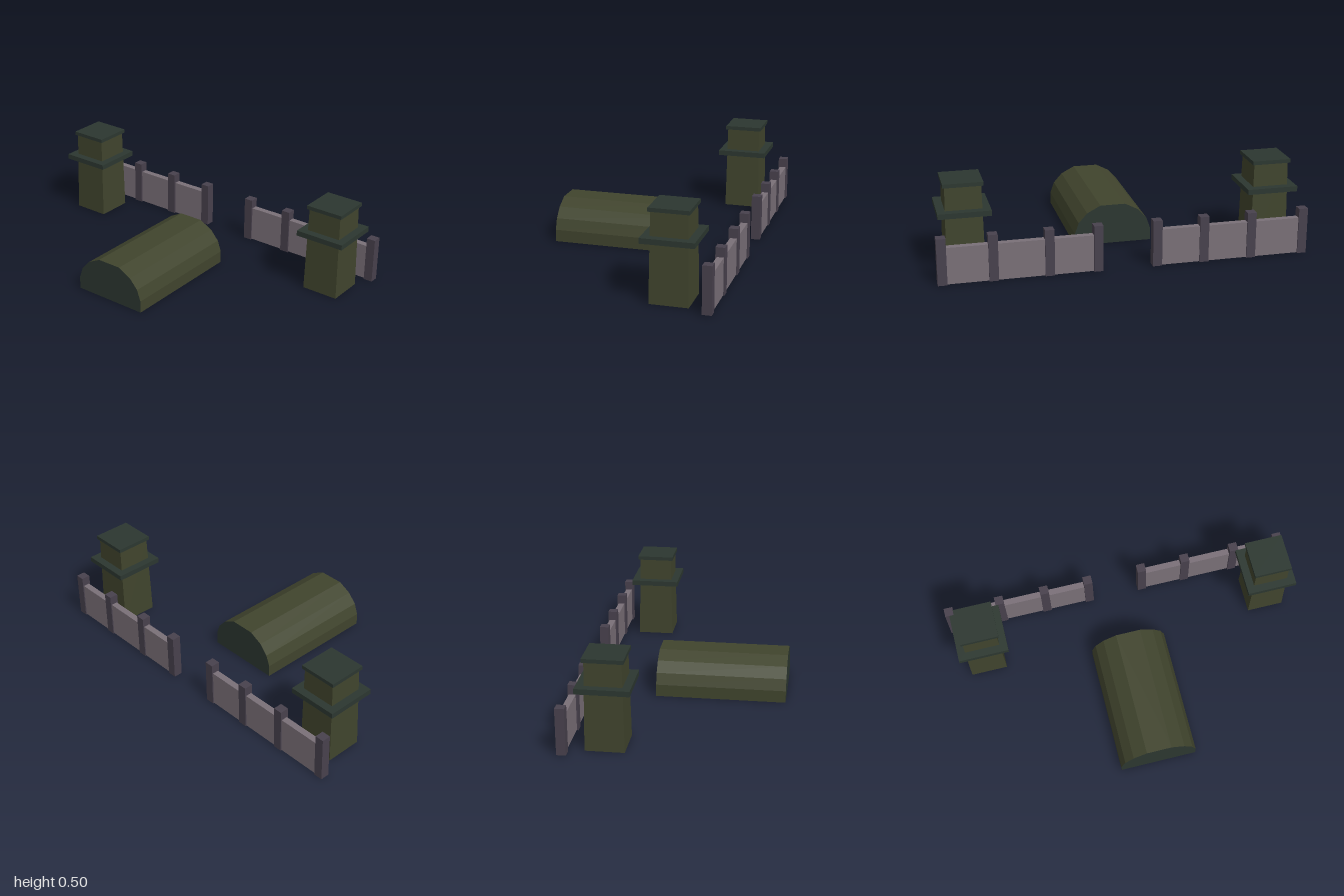
import * as THREE from 'three';

const mat = (name, color, side = THREE.FrontSide) => {
  const m = new THREE.MeshStandardMaterial({ color, side, flatShading: true });
  m.name = name;
  return m;
};

export function createModel() {
  const olive = mat('olive', 0x40442d, THREE.DoubleSide);
  const darkGreen = mat('dark green', 0x2c3730, THREE.DoubleSide);
  const panelGrey = mat('mauve grey', 0x7a7078);
  const postGrey = mat('dark mauve', 0x48414d);

  const model = new THREE.Group();
  model.name = 'outpost';

  const add = (parent, name, geometry, material, x, y, z) => {
    const mesh = new THREE.Mesh(geometry, material);
    mesh.name = name;
    mesh.position.set(x, y, z);
    parent.add(mesh);
  };
  // box standing on height y0 and ending at y1
  const box = (parent, name, material, w, d, y0, y1, x, z) =>
    add(parent, name, new THREE.BoxGeometry(w, y1 - y0, d), material, x, (y0 + y1) / 2, z);

  // Watchtowers: tapered square shaft, gallery slab and roof slab
  for (const [name, x] of [['rightTower', -0.83], ['leftTower', 0.838]]) {
    const tower = new THREE.Group();
    tower.name = name;
    const shaft = new THREE.CylinderGeometry(0.19 * Math.SQRT1_2, 0.206 * Math.SQRT1_2, 0.48, 4);
    shaft.rotateY(Math.PI / 4);
    add(tower, 'shaft', shaft, olive, x, 0.24, -0.318);
    box(tower, 'gallery', darkGreen, 0.28, 0.28, 0.324, 0.353, x, -0.318);
    box(tower, 'roof', darkGreen, 0.212, 0.212, 0.479, 0.5, x, -0.318);
    model.add(tower);
  }

  // Fences: a thin panel between four taller posts, on each side of the gate
  for (const [name, posts] of [
    ['rightFence', [-0.975, -0.683, -0.419, -0.162]],
    ['leftFence', [0.157, 0.416, 0.71, 0.975]],
  ]) {
    const fence = new THREE.Group();
    fence.name = name;
    const first = posts[0], last = posts[3];
    box(fence, 'panel', panelGrey, last - first, 0.036, 0.003, 0.203, (first + last) / 2, -0.527);
    for (const x of posts) box(fence, 'post', postGrey, 0.05, 0.05, 0, 0.255, x, -0.526);
    model.add(fence);
  }

  // Barrel-roofed hut: faceted shell, open underneath, with flat end walls
  const half = [[0.215, 0], [0.215, 0.068], [0.193, 0.13], [0.145, 0.184], [0.07, 0.223]];
  const arch = [...half, ...half.map(([x, y]) => [-x, y]).reverse()];
  const zBack = -0.167, zFront = 0.55;
  const hut = new THREE.Group();
  hut.name = 'hut';

  const verts = [];
  const index = [];
  arch.forEach(([x, y], i) => {
    verts.push(x, y, zBack, x, y, zFront);
    const a = i * 2;
    if (i < arch.length - 1) index.push(a, a + 2, a + 1, a + 1, a + 2, a + 3);
  });
  let shell = new THREE.BufferGeometry();
  shell.setAttribute('position', new THREE.Float32BufferAttribute(verts, 3));
  shell.setIndex(index);
  shell = shell.toNonIndexed();
  shell.computeVertexNormals();
  add(hut, 'barrelRoof', shell, olive, -0.01, 0, 0);

  const endShape = new THREE.Shape(arch.map(([x, y]) => new THREE.Vector2(x, y)));
  add(hut, 'frontWall', new THREE.ShapeGeometry(endShape), darkGreen, -0.01, 0, zFront);
  const back = new THREE.ShapeGeometry(endShape).rotateY(Math.PI);
  add(hut, 'backWall', back, darkGreen, -0.01, 0, zBack);
  model.add(hut);

  return model;
}
